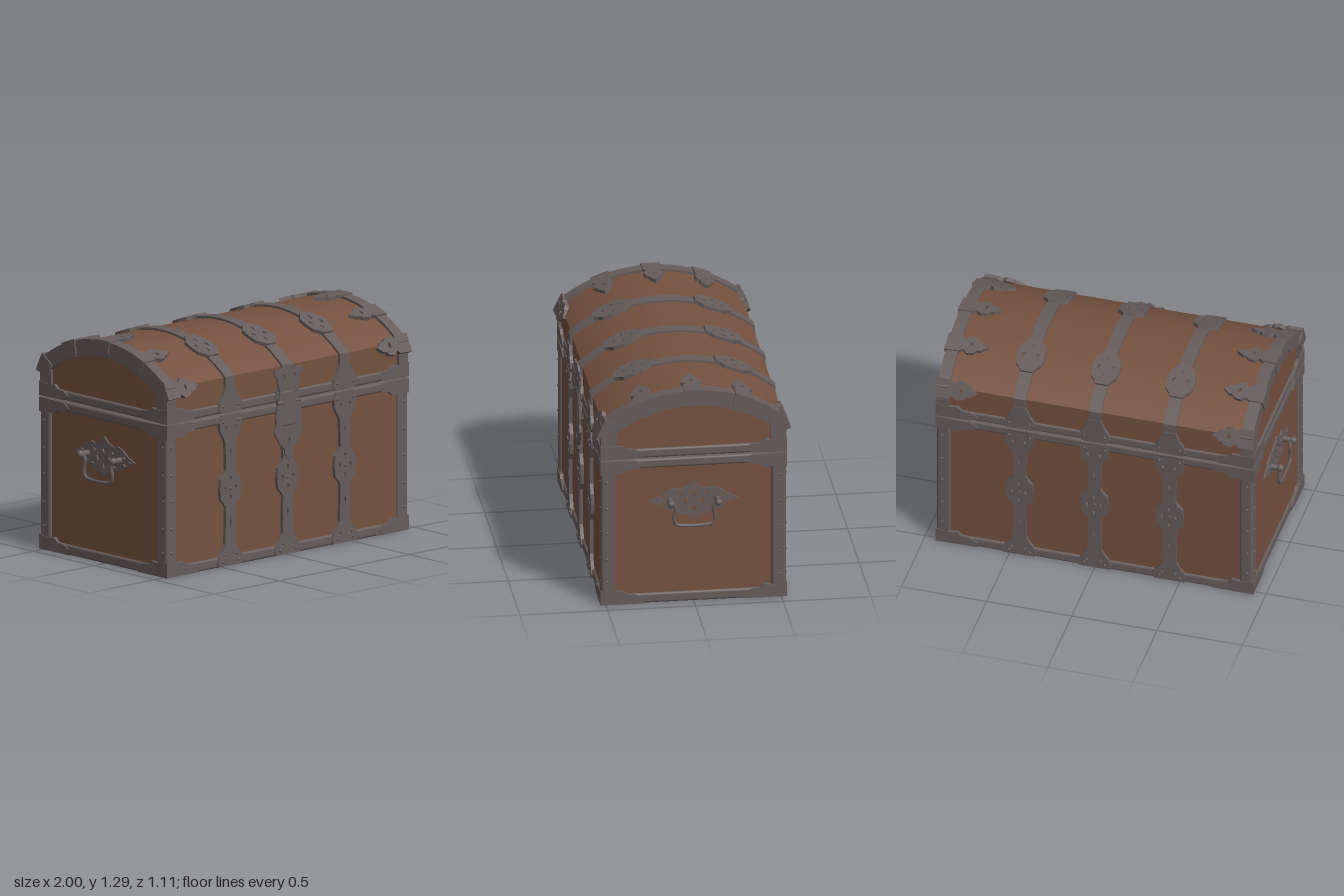
import * as THREE from 'three';
import { toCreasedNormals } from 'three/addons/utils/BufferGeometryUtils.js';
import { RoundedBoxGeometry } from 'three/addons/geometries/RoundedBoxGeometry.js';

const wood = new THREE.MeshStandardMaterial({ color: 0x75513f });
wood.name = 'brown wood';
const iron = new THREE.MeshStandardMaterial({ color: 0x665c5c });
iron.name = 'grey iron';

// Overall half sizes and the circle that the lid follows
const HX = 0.93, HZ = 0.53, R = 0.834, CY = 0.456;
const STRAPS = [-0.44, 0, 0.44];

function add(parent, name, geo, mat, pos = [0, 0, 0], rot = [0, 0, 0]) {
  const m = new THREE.Mesh(geo, mat);
  m.name = name;
  m.position.set(...pos);
  m.rotation.set(...rot);
  parent.add(m);
  return m;
}

const toShape = (pts) => new THREE.Shape(pts.map(([x, y]) => new THREE.Vector2(x, y)));
const extrude = (shape, depth) =>
  new THREE.ExtrudeGeometry(shape, { depth, bevelEnabled: false, curveSegments: 6 });

// Symmetric plate from [along y, half width] pairs, with [x, y, rx, ry] diamond holes
function plate(rows, depth, holes = []) {
  const right = rows.map(([y, w]) => [w, y]);
  const left = rows.filter((r) => r[1] > 0).map(([y, w]) => [-w, y]).reverse();
  const s = toShape([...right, ...left]);
  for (const [x, y, rx, ry] of holes) {
    s.holes.push(new THREE.Path([[x - rx, y], [x, y - ry], [x + rx, y], [x, y + ry]]
      .map((p) => new THREE.Vector2(...p))));
  }
  return extrude(s, depth);
}

// Lid cross-section inset by o, from one foot over the top to the other
function lidArc(o, foot) {
  const r = R - o, end = Math.asin((HZ - o) / r), pts = [[HZ - o, foot]];
  for (let i = 0; i <= 20; i++) {
    const a = end * (1 - i / 10);
    pts.push([Math.sin(a) * r, CY + Math.cos(a) * r]);
  }
  pts.push([-(HZ - o), foot]);
  return pts;
}

// Lid cross-section (or a band of it) extruded across x
function lidSlab(o, thick, width, foot = 0.89) {
  const pts = lidArc(o, foot);
  if (thick) pts.push(...lidArc(o + thick, foot).reverse());
  const g = extrude(toShape(pts), width);
  g.translate(0, 0, -width / 2).rotateY(Math.PI / 2);
  return toCreasedNormals(g, 0.5);
}

const BOSS = [[-0.11, 0.035], [-0.085, 0.05], [-0.06, 0.075], [0, 0.082], [0.06, 0.075], [0.085, 0.05], [0.11, 0.035]];
const bossHoles = (y) => [[-0.04, y, 0.012, 0.02], [0.04, y, 0.012, 0.02], [0, y + 0.055, 0.01, 0.02], [0, y - 0.055, 0.01, 0.02]];
const BODY_STRAP = [[0.005, 0.09], [0.03, 0.1], [0.06, 0.088], [0.09, 0.062], [0.13, 0.04], [0.33, 0.036],
  ...BOSS.map(([y, w]) => [y + 0.45, w]), [0.58, 0.036], [0.72, 0.04], [0.755, 0.06], [0.79, 0.08], [0.84, 0.085], [0.878, 0.07]];
const LID_FOOT = [[0.89, 0.07], [0.915, 0.092], [0.95, 0.085], [0.985, 0.06], [1.03, 0.042], [1.045, 0.036]];
const LEAF = [[-0.005, 0.056], [0.08, 0.052], [0.1, 0.036], [0.125, 0.058], [0.165, 0.05], [0.18, 0.032], [0.2, 0.03], [0.24, 0]];
const BRACKET = [[0, 0], [0.2, 0.004], [0.245, 0.032], [0.2, 0.055], [0.15, 0.06], [0.125, 0.082], [0.07, 0.075], [0, 0.085]];
const LOCK = [[0.55, 0], [0.585, 0.03], [0.61, 0.03], [0.65, 0.07], [0.72, 0.112], [0.76, 0.095], [0.8, 0.1], [0.88, 0.085]];
const HASP = [[0.89, 0.08], [0.95, 0.07], [1.0, 0.085], [1.03, 0.085], [1.05, 0.112], [1.085, 0.105], [1.075, 0.06], [1.1, 0.03], [1.09, 0]];
const HANDLE_PLATE = [[0.5, 0], [0.525, 0.03], [0.53, 0.07], [0.555, 0.1], [0.565, 0.15], [0.59, 0.19], [0.62, 0.255],
  [0.65, 0.19], [0.68, 0.15], [0.695, 0.11], [0.685, 0.08], [0.7, 0.035], [0.735, 0]];

const rivetGeo = new THREE.SphereGeometry(0.009, 8, 6);

// Iron that repeats on each upright face; local +z points outwards
function faceIron(angle, halfLength, dist) {
  const g = new THREE.Group();
  g.name = 'faceFittings';
  g.rotation.y = angle;
  const rails = [['bottomRail', 0.03, 0.06], ['bodyRimRail', 0.853, 0.056], ['lidRimRail', 0.917, 0.056]];
  for (const [name, y, h] of rails) {
    add(g, name, new RoundedBoxGeometry(2 * halfLength - 0.02, h, 0.05, 3, 0.014), iron, [0, y, dist - 0.031]);
  }
  for (const s of [-1, 1]) {
    for (const [name, y0, up] of [['bottomBracket', 0.002, 1], ['bodyRimBracket', 0.881, -1], ['lidRimBracket', 0.889, 1]]) {
      const pts = BRACKET.map(([d, h]) => [s * (halfLength - d), y0 + up * h]);
      add(g, name, extrude(toShape(pts), 0.025), iron, [0, 0, dist - 0.023]);
    }
    for (const y of [0.14, 0.28, 0.44, 0.59, 0.75]) {
      add(g, 'postRivet', rivetGeo, iron, [s * (halfLength - 0.035), y, dist - 0.004]);
    }
  }
  return g;
}

// Upright straps on the front or back
function straps(g) {
  const holes = [...bossHoles(0.45), [0, 0.25, 0.007, 0.03], [0, 0.66, 0.007, 0.02],
    [-0.04, 0.055, 0.012, 0.012], [0.04, 0.055, 0.012, 0.012], [-0.035, 0.8, 0.012, 0.014], [0.035, 0.8, 0.012, 0.014]];
  for (const x of STRAPS) {
    add(g, 'bodyStrap', plate(BODY_STRAP, 0.027, holes), iron, [x, 0, 0.505]);
    add(g, 'lidStrapFoot', plate(LID_FOOT, 0.027), iron, [x, 0, 0.506]);
    for (const [dx, y] of [[-0.06, 0.03], [0.06, 0.03], [0, 0.45], [-0.06, 0.84], [0.06, 0.84], [-0.06, 0.93], [0.06, 0.93]]) {
      add(g, 'strapRivet', rivetGeo, iron, [x + dx, y, 0.532]);
    }
  }
}

// Pierced plate with two knobs and a hanging bail, facing local +z
function handle(g) {
  const holes = [[0, 0.66, 0.014, 0.025], [0, 0.57, 0.014, 0.025]];
  for (const s of [-1, 1]) {
    holes.push([s * 0.05, 0.615, 0.014, 0.03], [s * 0.075, 0.655, 0.016, 0.014], [s * 0.175, 0.64, 0.018, 0.012],
      [s * 0.175, 0.6, 0.018, 0.012], [s * 0.215, 0.62, 0.012, 0.008], [s * 0.09, 0.575, 0.015, 0.012]);
    add(g, 'handleKnobStem', new THREE.CylinderGeometry(0.013, 0.02, 0.07, 10), iron, [s * 0.135, 0.62, 0.945], [Math.PI / 2, 0, 0]);
    add(g, 'handleKnob', new THREE.SphereGeometry(0.022, 12, 8), iron, [s * 0.135, 0.62, 0.978]);
  }
  add(g, 'handlePlate', plate(HANDLE_PLATE, 0.014, holes), iron, [0, 0, 0.908]);
  const half = [[0.13, 0.625], [0.107, 0.59], [0.118, 0.53], [0.105, 0.493], [0.05, 0.482]];
  const pts = [...half, ...half.map(([x, y]) => [-x, y]).reverse()].map(([x, y]) => new THREE.Vector3(x, y, 0.967));
  add(g, 'handleBail', new THREE.TubeGeometry(new THREE.CatmullRomCurve3(pts), 40, 0.01, 8), iron);
}

export function createModel() {
  const chest = new THREE.Group();
  chest.name = 'chest';

  // Wooden body and lid
  add(chest, 'bodyWood', new THREE.BoxGeometry(1.824, 0.866, 1.024), wood, [0, 0.445, 0]);
  add(chest, 'lidWood', lidSlab(0.016, 0, 1.824, 0.892), wood);

  // Corner posts and triangular base plates
  for (const sx of [-1, 1]) for (const sz of [-1, 1]) {
    add(chest, 'cornerPost', new RoundedBoxGeometry(0.08, 0.875, 0.085, 3, 0.016), iron, [sx * 0.888, 0.44, sz * 0.485]);
    const tri = [[0, 0], [0.24, 0], [0.2, 0.05], [0.05, 0.2], [0, 0.24]].map(([a, b]) => [sx * (0.925 - a), sz * (0.525 - b)]);
    add(chest, 'baseCornerPlate', extrude(toShape(tri), 0.015), iron, [0, 0.015, 0], [Math.PI / 2, 0, 0]);
  }

  // Lid end bands and straps over the top
  for (const s of [-1, 1]) add(chest, 'lidEndBand', lidSlab(0.002, 0.092, 0.07), iron, [s * 0.891, 0, 0]);
  for (const x of STRAPS) {
    add(chest, 'lidStrap', lidSlab(0.003, 0.025, 0.074), iron, [x, 0, 0]);
    for (const a of [-0.355, 0.355]) {
      const r = R - 0.02;
      add(chest, 'lidStrapBoss', plate(BOSS, 0.022, bossHoles(0)), iron,
        [x, CY + r * Math.cos(a), r * Math.sin(a)], [a - Math.PI / 2, 0, 0]);
    }
  }

  // Fittings on the four upright faces
  const front = faceIron(0, HX, HZ), back = faceIron(Math.PI, HX, HZ);
  const left = faceIron(Math.PI / 2, HZ, HX), right = faceIron(-Math.PI / 2, HZ, HX);
  chest.add(front, back, left, right);
  straps(front);
  straps(back);
  handle(left);
  handle(right);

  // Leaf plates wrapping over the lid ends
  for (const [s, end] of [[1, left], [-1, right]]) {
    for (const z of [-0.526, -0.29, 0, 0.29, 0.526]) {
      const corner = Math.abs(z) > 0.5;
      const a = corner ? Math.sign(z) * 1.13 : Math.asin(z / R);
      const y = corner ? 1.085 : CY + Math.sqrt(R * R - z * z);
      const at = (k) => [y - k * Math.cos(a), z - k * Math.sin(a)];
      add(chest, 'lidLeafPlate', plate(LEAF, 0.026, [[0, 0.145, 0.02, 0.012]]), iron,
        [s * HX, ...at(0.022)], [a - Math.PI / 2, 0, s * Math.PI / 2]);
      const [by, bz] = at(0);
      add(end, 'lidLeafFold', plate([[-0.095, 0.03], [-0.075, 0.045], [0.003, 0.054]], 0.02), iron,
        [-s * bz, by, HX - 0.015], [0, 0, s * a]);
    }
  }

  // Lock plate, keyhole and hasp on the front
  add(front, 'lockPlate', plate(LOCK, 0.012, [[0, 0.66, 0.012, 0.025]]), iron, [0, 0, 0.53]);
  add(front, 'hasp', plate(HASP, 0.012, [[-0.04, 1.03, 0.012, 0.02], [0.04, 1.03, 0.012, 0.02]]), iron, [0, 0, 0.53]);
  add(front, 'haspTongue', new RoundedBoxGeometry(0.09, 0.2, 0.02, 2, 0.008), iron, [0, 0.85, 0.537]);
  add(front, 'haspPin', new THREE.CylinderGeometry(0.01, 0.01, 0.18, 10), iron, [0, 0.886, 0.537], [0, 0, Math.PI / 2]);

  // Hinge barrels on the back
  for (const x of [-0.44, 0.44]) {
    add(back, 'hingeBarrel', new THREE.CylinderGeometry(0.011, 0.011, 0.2, 10), iron, [x, 0.885, 0.534], [0, 0, Math.PI / 2]);
  }
  return chest;
}
